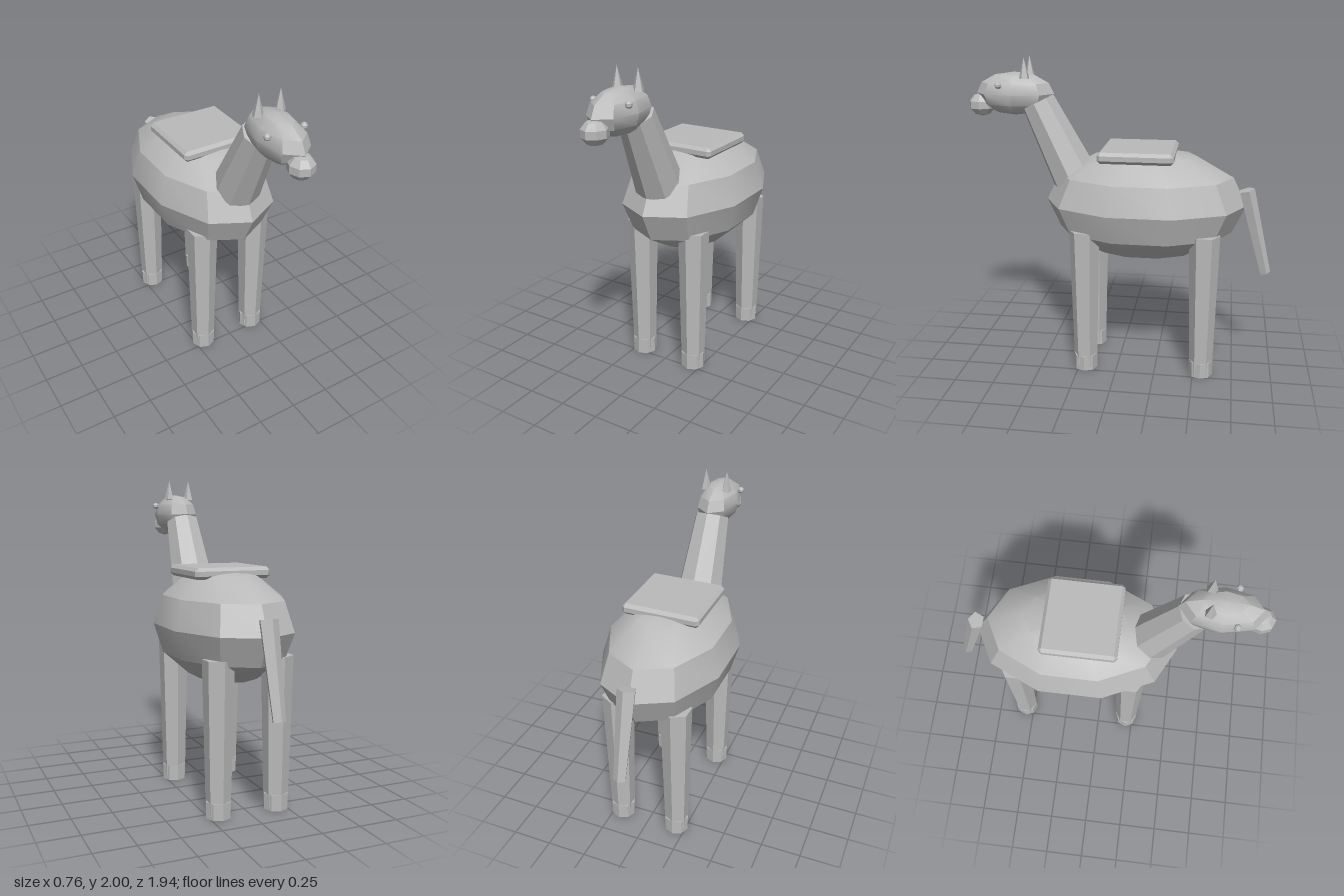
import * as THREE from 'three';
import { toCreasedNormals } from 'three/addons/utils/BufferGeometryUtils.js';
import { ConvexGeometry } from 'three/addons/geometries/ConvexGeometry.js';

export function createModel() {
  const model = new THREE.Group();
  model.name = 'packAnimal';
  const grey = new THREE.MeshStandardMaterial({ color: 0xbababa });
  grey.name = 'plain grey';

  const add = (name, geometry) => {
    const mesh = new THREE.Mesh(toCreasedNormals(geometry, Math.PI / 6), grey);
    mesh.name = name;
    model.add(mesh);
    return mesh;
  };

  // Low-poly ellipsoid with a vertex column on +z
  const ellipsoid = (name, radii, centre, around, rings) =>
    add(name, new THREE.SphereGeometry(1, around, rings)
      .rotateY(Math.PI / 2).scale(...radii).translate(...centre));

  // Tapered prism between two points, with a vertex column towards +z (or -z when turned)
  const limb = (name, from, to, r0, r1, sides, widen = 1, turn = 0) => {
    const a = new THREE.Vector3(...from), b = new THREE.Vector3(...to);
    const dir = b.clone().sub(a);
    const geometry = new THREE.CylinderGeometry(r1, r0, dir.length(), sides, 1, false, turn)
      .scale(widen, 1, 1)
      .applyQuaternion(new THREE.Quaternion().setFromUnitVectors(
        new THREE.Vector3(0, 1, 0), dir.clone().normalize()));
    const mid = a.add(b).multiplyScalar(0.5);
    return add(name, geometry.translate(mid.x, mid.y, mid.z));
  };

  // Body, neck and head
  ellipsoid('body', [0.4, 0.36, 0.64], [0, 1.09, -0.16], 10, 6);
  limb('neck', [0, 1.243, 0.294], [0, 1.72, 0.525], 0.15, 0.11, 8);
  ellipsoid('head', [0.128, 0.135, 0.25], [0, 1.77, 0.67], 8, 6);
  ellipsoid('muzzle', [0.08, 0.073, 0.085], [0, 1.697, 0.89], 8, 5);

  // Tail
  limb('tail', [0, 0.65, -0.937], [0, 1.193, -0.797], 0.035, 0.052, 5, 1.15, Math.PI);

  for (const [side, s] of [['left', 1], ['right', -1]]) {
    // Eyes and ears
    ellipsoid(side + 'Eye', [0.022, 0.022, 0.022], [s * 0.117, 1.83, 0.745], 6, 5);
    limb(side + 'Ear', [s * 0.07, 1.87, 0.59], [s * 0.07, 2, 0.59], 0.034, 0, 5);

    // Legs and hooves
    for (const [end, z] of [['Front', 0.205], ['Hind', -0.55]]) {
      limb(side + end + 'Leg', [s * 0.19, 0.02, z], [s * 0.19, 0.945, z], 0.074, 0.096, 6);
      limb(side + end + 'Hoof', [s * 0.19, 0, z], [s * 0.19, 0.1, z], 0.077, 0.077, 8);
    }
  }

  // Saddle pad: box with chamfered edges
  const half = [0.245, 0.035, 0.235], bevel = 0.02, corners = [];
  for (const sx of [-1, 1]) for (const sy of [-1, 1]) for (const sz of [-1, 1])
    for (let axis = 0; axis < 3; axis++) {
      const p = half.map((h, i) => (i === axis ? h : h - bevel));
      corners.push(new THREE.Vector3(p[0] * sx, p[1] * sy, p[2] * sz));
    }
  add('saddlePad', new ConvexGeometry(corners).translate(0, 1.418, -0.118));

  return model;
}
